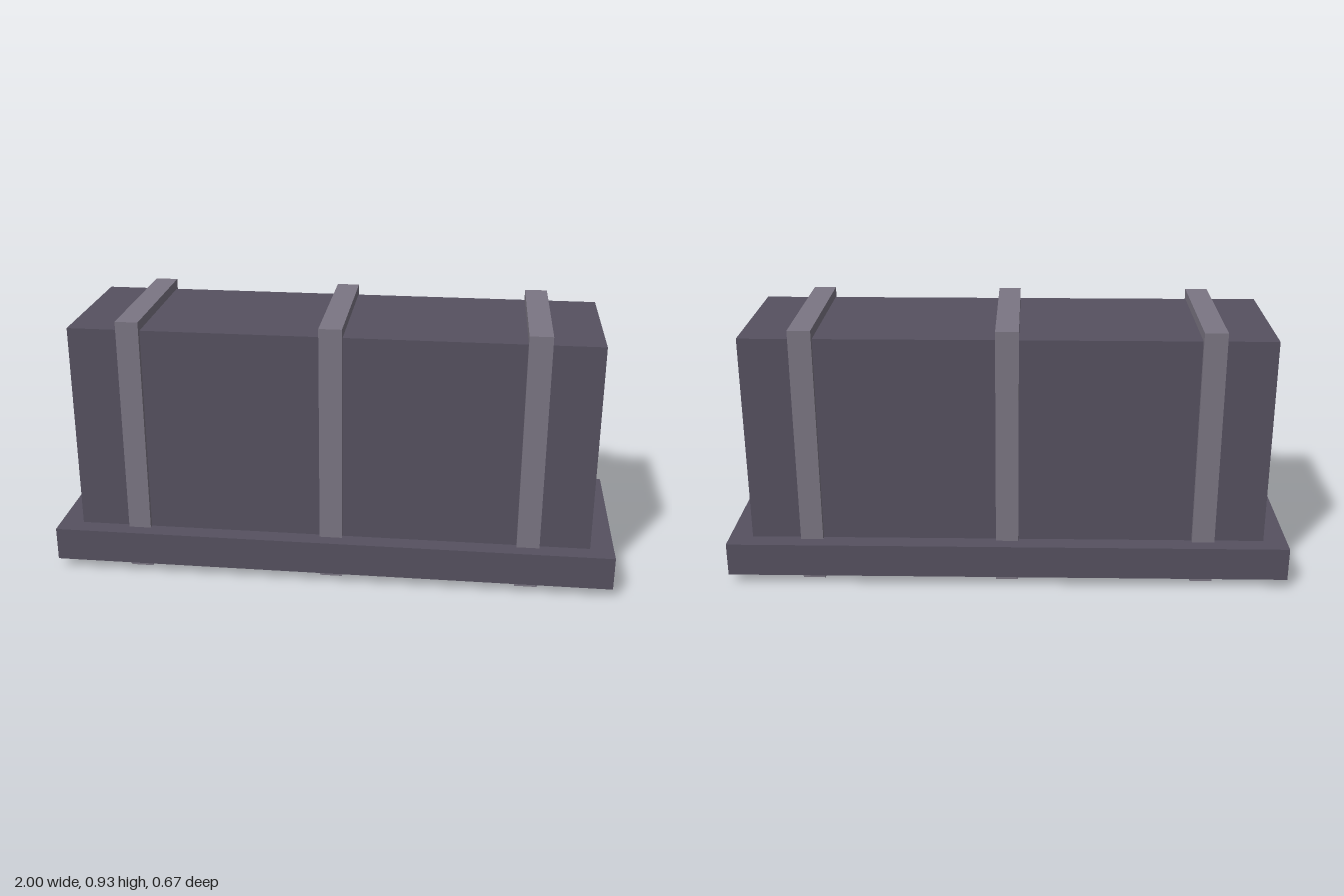
import * as THREE from 'three';

export function createModel() {
  const model = new THREE.Group();
  const stone = new THREE.MeshStandardMaterial({ color: 0x565160 });
  stone.name = 'dark slate';
  const metal = new THREE.MeshStandardMaterial({ color: 0x7b7683 });
  metal.name = 'grey strap';

  // Box centred on z = 0, given its size, x position and bottom height
  function addBox(name, material, width, height, depth, x, bottom) {
    const mesh = new THREE.Mesh(new THREE.BoxGeometry(width, height, depth), material);
    mesh.name = name;
    mesh.position.set(x, bottom + height / 2, 0);
    model.add(mesh);
  }

  // Wide base slab and the tall block standing on it
  addBox('base', stone, 2, 0.12, 0.667, 0, 0.035);
  addBox('body', stone, 1.834, 0.747, 0.533, 0, 0.153);

  // Straps running all the way round, through the base
  ['rightStrap', 'middleStrap', 'leftStrap'].forEach((name, i) => {
    addBox(name, metal, 0.08, 0.934, 0.567, (i - 1) * 0.7, 0);
  });

  return model;
}
